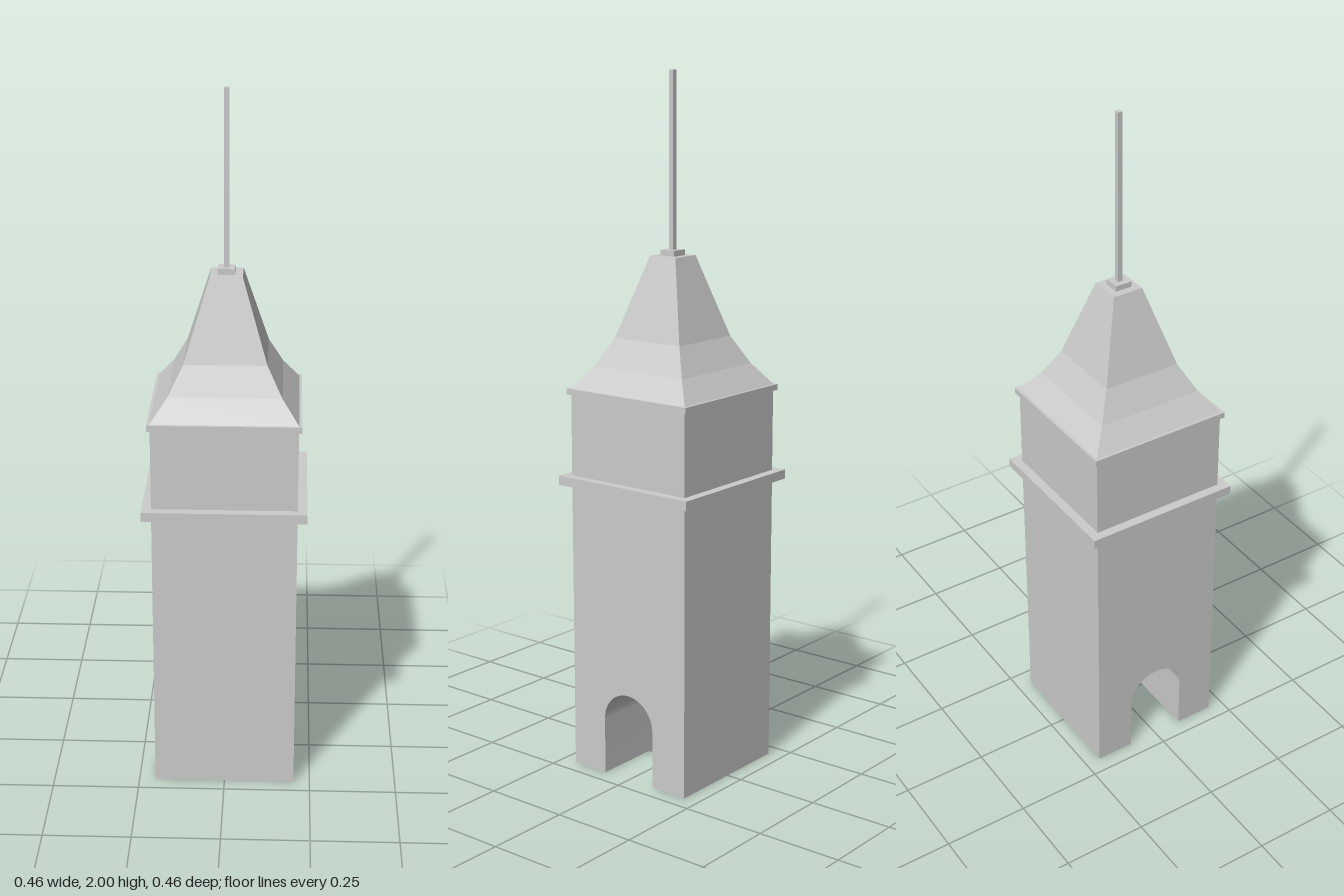
import * as THREE from 'three';
import { toCreasedNormals } from 'three/addons/utils/BufferGeometryUtils.js';

const stone = new THREE.MeshStandardMaterial({ color: 0xcccccc });
stone.name = 'light grey';

function add(group, name, geometry) {
  const mesh = new THREE.Mesh(geometry, stone);
  mesh.name = name;
  group.add(mesh);
  return mesh;
}

// Square slab given by its half width and its bottom and top heights
function slab(group, name, half, y0, y1) {
  const mesh = add(group, name, new THREE.BoxGeometry(half * 2, y1 - y0, half * 2));
  mesh.position.y = (y0 + y1) / 2;
}

// Tower shaft with an arched passage running from side to side
function shaftGeometry(half, height, archHalf, spring) {
  const s = new THREE.Shape();
  s.moveTo(-half, 0);
  s.lineTo(-archHalf, 0);
  s.lineTo(-archHalf, spring);
  s.absarc(0, spring, archHalf, Math.PI, 0, true);
  s.lineTo(archHalf, 0);
  s.lineTo(half, 0);
  s.lineTo(half, height);
  s.lineTo(-half, height);
  s.closePath();
  const g = new THREE.ExtrudeGeometry(s, { depth: half * 2, bevelEnabled: false, curveSegments: 24 });
  g.translate(0, 0, -half);
  g.rotateY(Math.PI / 2);
  return toCreasedNormals(g, Math.PI / 6);
}

// Four-sided flared roof from [half width, height] pairs
function roofGeometry(profile) {
  const points = profile.map(([half, y]) => new THREE.Vector2(half * Math.SQRT2, y));
  const g = new THREE.LatheGeometry(points, 4, Math.PI / 4).toNonIndexed();
  g.computeVertexNormals();
  return g;
}

export function createModel() {
  const tower = new THREE.Group();
  tower.name = 'tower';

  add(tower, 'shaft', shaftGeometry(0.203, 1.107, 0.088, 0.167));
  slab(tower, 'beltCourse', 0.23, 0.845, 0.872);
  slab(tower, 'eaves', 0.212, 1.106, 1.123);
  add(tower, 'roof', roofGeometry([
    [0, 1.123], [0.204, 1.123], [0.157, 1.185], [0.115, 1.265], [0.045, 1.494], [0, 1.494],
  ]));
  slab(tower, 'spireBase', 0.024, 1.494, 1.51);
  slab(tower, 'spire', 0.007, 1.51, 2);

  return tower;
}
